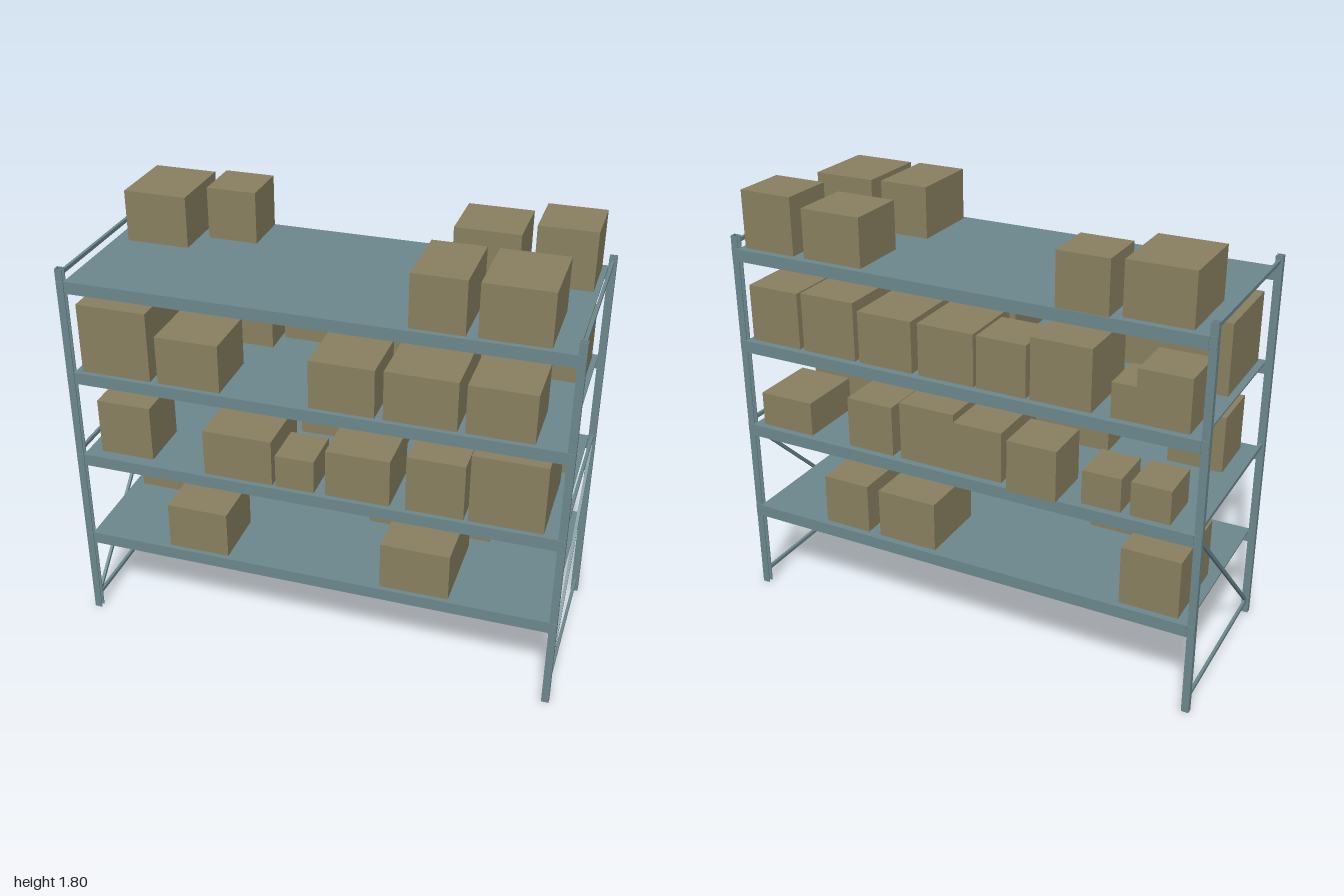
import * as THREE from 'three';

const steel = new THREE.MeshStandardMaterial({ color: 0x6b878d });
steel.name = 'blue grey steel';
const carton = new THREE.MeshStandardMaterial({ color: 0x898060 });
carton.name = 'brown cardboard';
const inner = new THREE.MeshStandardMaterial({ color: 0x6b6783 });
inner.name = 'violet grey channel lining';

// Box given by its minimum and maximum on each axis
function block(parent, name, material, x0, x1, y0, y1, z0, z1) {
  const mesh = new THREE.Mesh(new THREE.BoxGeometry(x1 - x0, y1 - y0, z1 - z0), material);
  mesh.position.set((x0 + x1) / 2, (y0 + y1) / 2, (z0 + z1) / 2);
  mesh.name = name;
  parent.add(mesh);
  return mesh;
}

// U-shaped channel, open toward the middle of the rack
function makePost(side, z) {
  const post = new THREE.Group();
  post.name = 'post';
  block(post, 'postWeb', steel, 0, 0.004, 0, 1.61, -0.0125, 0.0125);
  for (const s of [-1, 1])
    block(post, 'postFlange', steel, 0.004, 0.03, 0, 1.61, s * 0.0105 - 0.002, s * 0.0105 + 0.002);
  block(post, 'channelLining', inner, 0.004, 0.007, 0, 1.61, -0.0085, 0.0085);
  post.rotation.y = side > 0 ? Math.PI : 0;
  post.position.set(side, 0, z);
  return post;
}

// Two posts, three rails and one diagonal brace
function makeEndFrame(side) {
  const frame = new THREE.Group();
  frame.name = 'endFrame';
  frame.add(makePost(side, 0.384), makePost(side, -0.364));
  const x = side * 0.985;
  for (const y of [0.058, 0.808, 1.587])
    block(frame, 'rail', steel, x - 0.006, x + 0.006, y - 0.008, y + 0.008, -0.355, 0.375);
  const dz = -0.73, dy = 0.7, half = Math.hypot(dz, dy) / 2;
  const brace = block(frame, 'diagonalBrace', steel, -0.006, 0.006, -0.007, 0.007, -half, half);
  brace.position.set(x, 0.41, 0.01);
  brace.rotation.x = Math.atan2(-dy, dz);
  return frame;
}

// Carton sizes: width, height, depth
const sizes = {
  tall: [0.24, 0.243, 0.342],
  wide: [0.26, 0.21, 0.31],
  deep: [0.207, 0.212, 0.305],
  long: [0.28, 0.203, 0.372],
  giant: [0.288, 0.29, 0.372],
  cube: [0.227, 0.236, 0.232],
  small: [0.205, 0.212, 0.21],
  square: [0.257, 0.2, 0.255],
  flat: [0.24, 0.145, 0.285],
  tiny: [0.158, 0.14, 0.19],
  broad: [0.285, 0.197, 0.3],
  plain: [0.238, 0.214, 0.3],
  chest: [0.245, 0.25, 0.31],
};

// Shelf heights and the cartons in each row: size, left edge, optional shift in z
const shelves = [
  { y: 0.40,
    front: [['square', -0.62], ['long', 0.285]],
    back: [['tall', -0.925], ['wide', 0.12], ['deep', 0.435]] },
  { y: 0.79,
    front: [['cube', -0.91, -0.03], ['broad', -0.445], ['tiny', -0.145], ['square', 0.06],
      ['cube', 0.38], ['giant', 0.625]],
    back: [['tiny', -0.87], ['tiny', -0.675], ['small', -0.43, -0.04], ['deep', -0.182],
      ['tall', 0.025], ['small', 0.302], ['flat', 0.69]] },
  { y: 1.17,
    front: [['giant', -0.94], ['square', -0.62], ['square', -0.005], ['long', 0.285], ['square', 0.595]],
    back: [['small', -0.92], ['tiny', -0.778], ['chest', -0.545], ['small', -0.283],
      ['plain', -0.065], ['plain', 0.202], ['tall', 0.46], ['cube', 0.72]] },
  { y: 1.56,
    front: [['deep', 0.37], ['wide', 0.62]],
    back: [['wide', -0.91], ['small', -0.61, -0.025], ['square', 0.413], ['cube', 0.72]] },
];

function makeShelf({ y, front, back }) {
  const shelf = new THREE.Group();
  shelf.name = 'shelf';
  block(shelf, 'deck', steel, -0.968, 0.968, y - 0.008, y, -0.36, 0.372);
  // Beams along the front and back, with hooks over the posts
  for (const [z0, z1] of [[0.372, 0.394], [-0.384, -0.36]])
    block(shelf, 'beam', steel, -0.97, 0.97, y - 0.05, y, z0, z1);
  for (const s of [-1, 1])
    for (const z of [0.398, -0.378])
      block(shelf, 'beamHook', steel, s * 0.983 - 0.015, s * 0.983 + 0.015, y - 0.05, y, z - 0.002, z + 0.002);
  // Front cartons line up on their front faces, back cartons on their back faces
  for (const [size, x, shift = 0] of front) {
    const [w, h, d] = sizes[size];
    block(shelf, 'frontCarton', carton, x, x + w, y, y + h, 0.374 + shift - d, 0.374 + shift);
  }
  for (const [size, x, shift = 0] of back) {
    const [w, h, d] = sizes[size];
    block(shelf, 'backCarton', carton, x, x + w, y, y + h, shift - 0.355, shift - 0.355 + d);
  }
  return shelf;
}

export function createModel() {
  const rack = new THREE.Group();
  rack.name = 'storageRack';
  rack.add(makeEndFrame(-1), makeEndFrame(1));
  for (const s of shelves) rack.add(makeShelf(s));
  return rack;
}
